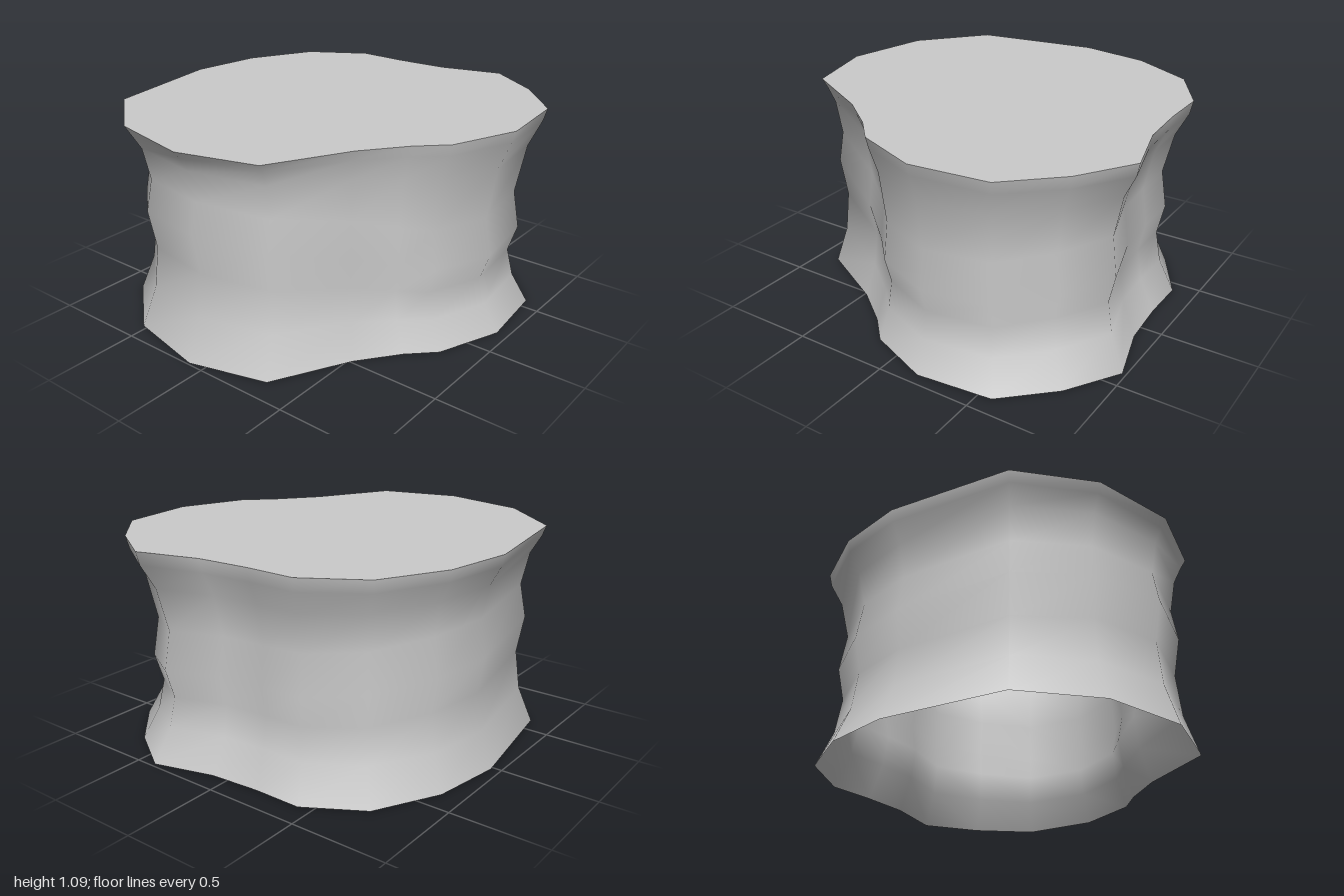
import * as THREE from 'three';

// Irregular outline of the top, as [x, z]
const OUTLINE = [
  [0.41, -1.0], [0.685, -0.825], [0.916, -0.58], [0.955, -0.18], [0.82, 0.16],
  [0.685, 0.29], [0.525, 0.495], [0.315, 0.885], [-0.09, 0.995], [-0.53, 0.9],
  [-0.86, 0.62], [-0.96, -0.02], [-0.9, -0.385], [-0.725, -0.715],
  [-0.435, -0.89], [-0.18, -0.89], [0.09, -0.91],
];

// Wall profiles, as [height, scale of outline], facing each of the four sides
const LEFT = [[0, 0.985], [0.15, 0.905], [0.29, 0.872], [0.42, 0.915], [0.62, 0.883], [0.89, 0.925], [1.03, 0.982], [1.09, 1]];
const RIGHT = [[0, 0.99], [0.18, 0.917], [0.38, 0.89], [0.57, 0.922], [0.76, 0.89], [0.93, 0.928], [1.03, 0.985], [1.09, 1]];
const FRONT = [[0, 0.995], [0.22, 0.92], [0.45, 0.895], [0.66, 0.93], [0.82, 0.9], [0.98, 0.93], [1.05, 0.97], [1.09, 1]];
const BACK = [[0, 0.98], [0.18, 0.895], [0.34, 0.865], [0.49, 0.9], [0.69, 0.87], [0.9, 0.92], [1.02, 0.985], [1.09, 1]];

// Blend the side and front/back profiles by direction
function wallPoint(x, z, row) {
  const side = (x * x) / (x * x + z * z);
  const a = (x > 0 ? LEFT : RIGHT)[row];
  const b = (z > 0 ? FRONT : BACK)[row];
  const y = a[0] * side + b[0] * (1 - side);
  const s = a[1] * side + b[1] * (1 - side);
  return [x * s, y, z * s];
}

function buildGeometry(positions, index) {
  const geometry = new THREE.BufferGeometry();
  geometry.setAttribute('position', new THREE.Float32BufferAttribute(positions, 3));
  geometry.setIndex(index);
  geometry.computeVertexNormals();
  return geometry;
}

// Closed loops of points joined into a smooth wall, open underneath
function wallGeometry() {
  const n = OUTLINE.length;
  const positions = [], index = [];
  for (let row = 0; row < FRONT.length; row++) {
    for (const [x, z] of OUTLINE) positions.push(...wallPoint(x, z, row));
    if (row === 0) continue;
    for (let i = 0; i < n; i++) {
      const j = (i + 1) % n;
      const a = (row - 1) * n + i, b = (row - 1) * n + j;
      const c = row * n + i, d = row * n + j;
      index.push(a, c, b, b, c, d);
    }
  }
  return buildGeometry(positions, index);
}

// Flat fan closing the top
function topGeometry() {
  const n = OUTLINE.length, height = 1.09;
  const positions = [0, height, 0], index = [];
  OUTLINE.forEach(([x, z], i) => {
    positions.push(x, height, z);
    index.push(0, ((i + 1) % n) + 1, i + 1);
  });
  return buildGeometry(positions, index);
}

export function createModel() {
  const model = new THREE.Group();
  model.name = 'stump';
  const material = new THREE.MeshStandardMaterial({ color: 0xcccccc, side: THREE.DoubleSide });

  const wall = new THREE.Mesh(wallGeometry(), material);
  wall.name = 'wall';
  const top = new THREE.Mesh(topGeometry(), material);
  top.name = 'top';
  model.add(wall, top);
  return model;
}
